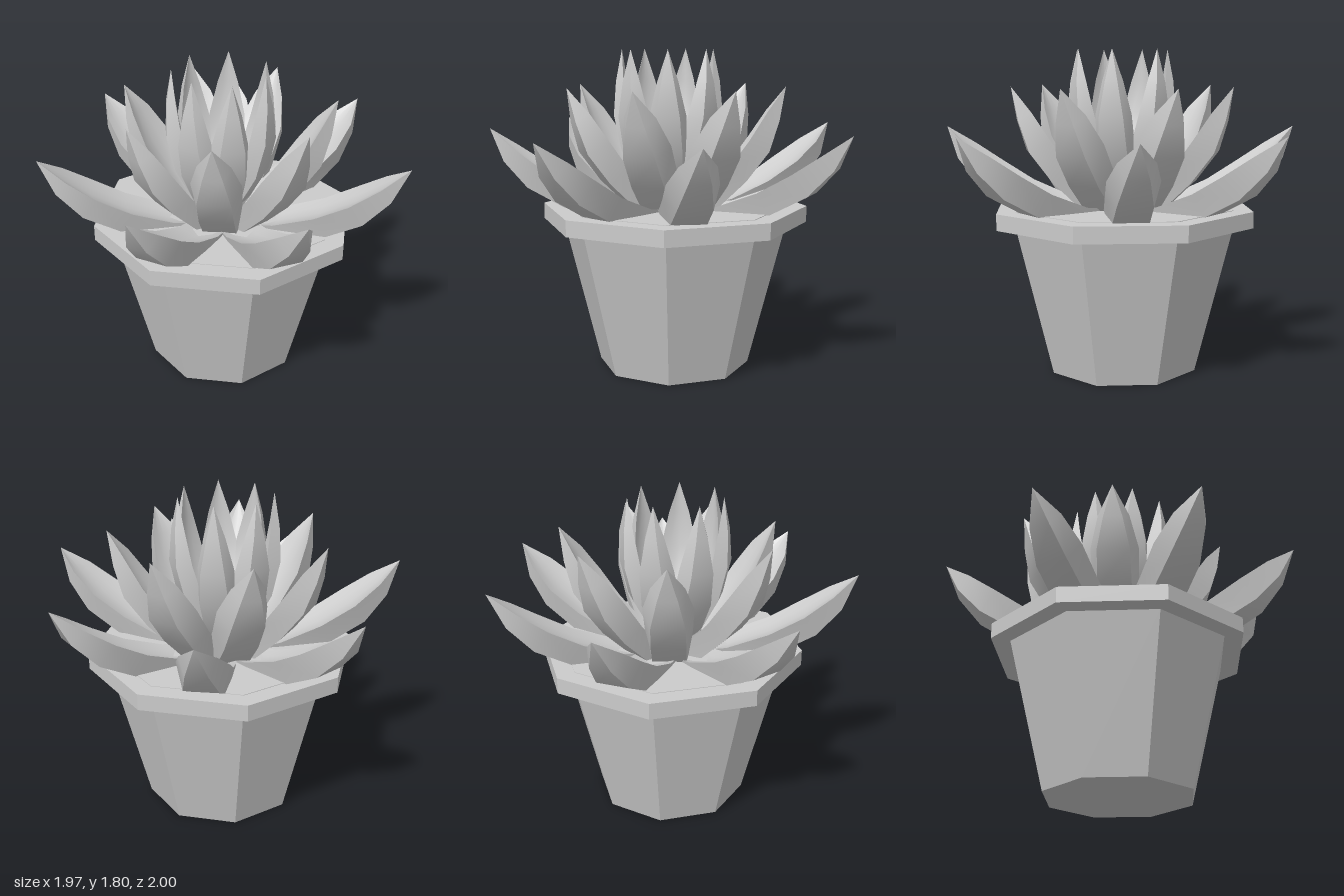
import * as THREE from 'three';
import { mergeGeometries } from 'three/addons/utils/BufferGeometryUtils.js';

const CX = 0.04, CZ = -0.02;   // pot axis
const RIM_TOP = 0.925;

// Smooth surface across rows of points
function strip(rows) {
  const n = rows[0].length, index = [];
  for (let i = 0; i < rows.length - 1; i++) {
    for (let j = 0; j < n - 1; j++) {
      const a = i * n + j, b = a + n;
      index.push(a, a + 1, b, a + 1, b + 1, b);
    }
  }
  const g = new THREE.BufferGeometry().setFromPoints(rows.flat());
  g.setIndex(index);
  g.computeVertexNormals();
  return g;
}

// Pointed leaf growing along +z: cupped upper face, two bevelled sides, narrower back
function leafGeometry({ spine, taper, width, depth, cup }) {
  const path = new THREE.SplineCurve(spine.map(([r, y]) => new THREE.Vector2(r, y)));
  const top = [], right = [], back = [], left = [];
  taper.forEach((s, i) => {
    const t = i / (taper.length - 1), p = path.getPoint(t), d = path.getTangent(t);
    const backWidth = THREE.MathUtils.lerp(0.85, 0.55, t);
    // x across the leaf, drop towards its back
    const at = (x, drop) => new THREE.Vector3(x * width * s, p.y - d.x * drop * s, p.x + d.y * drop * s);
    const l = at(-1, 0), r = at(1, 0), bl = at(-backWidth, depth), br = at(backWidth, depth);
    top.push([l, at(-0.5, cup * 0.75), at(0, cup), at(0.5, cup * 0.75), r]);
    right.push([r, br]);
    back.push([br, bl]);
    left.push([bl, l]);
  });
  return mergeGeometries([top, right, back, left].map(strip));
}

export function createModel() {
  const model = new THREE.Group();
  const flat = new THREE.MeshStandardMaterial({ color: 0xcccccc, flatShading: true });
  const smooth = new THREE.MeshStandardMaterial({ color: 0xcccccc, side: THREE.DoubleSide });

  // Eight-sided pot, rim and soil
  const octagon = (name, rTop, rBottom, y0, y1) => {
    const mesh = new THREE.Mesh(new THREE.CylinderGeometry(rTop, rBottom, y1 - y0, 8), flat);
    mesh.name = name;
    mesh.position.set(CX, (y0 + y1) / 2, CZ);
    model.add(mesh);
  };
  octagon('pot', 0.64, 0.43, 0, 0.835);
  octagon('rim', 0.75, 0.75, 0.835, RIM_TOP);
  octagon('soil', 0.64, 0.64, 0.86, RIM_TOP + 0.003);

  // Three rings of seven leaves; angles in degrees from +x towards +z
  const rings = [
    {
      name: 'outerLeaf', cx: CX, cz: CZ + 0.01,
      angles: [-24, 33.5, 82, 131, 180.5, 238, 287],
      spine: [[0.08, 0.92], [0.38, 0.97], [0.65, 1.1], [0.85, 1.23], [1.03, 1.36]],
      taper: [0.8, 0.88, 0.96, 1, 0.7, 0], width: 0.135, depth: 0.14, cup: 0.03,
    },
    {
      name: 'middleLeaf', cx: CX, cz: CZ,
      angles: [11.3, 61, 110, 158, 218, 265.4, 314.3],
      spine: [[0.04, 0.9], [0.21, 1.04], [0.37, 1.23], [0.49, 1.42], [0.62, 1.595]],
      taper: [0.8, 0.88, 0.96, 1, 0.65, 0], width: 0.135, depth: 0.13, cup: 0.035,
    },
    {
      name: 'innerLeaf', cx: 0.015, cz: 0,
      angles: [-9, 42, 92, 139, 189, 243, 293],
      spine: [[-0.03, 0.92], [0.11, 1.13], [0.2, 1.36], [0.24, 1.58], [0.264, 1.8]],
      taper: [0.7, 0.88, 1, 0.9, 0.52, 0], width: 0.11, depth: 0.09, cup: 0.03,
    },
  ];
  for (const ring of rings) {
    const geometry = leafGeometry(ring);
    for (const angle of ring.angles) {
      const leaf = new THREE.Mesh(geometry, smooth);
      leaf.name = ring.name;
      leaf.position.set(ring.cx, 0, ring.cz);
      leaf.rotation.y = THREE.MathUtils.degToRad(90 - angle);
      model.add(leaf);
    }
  }
  return model;
}
